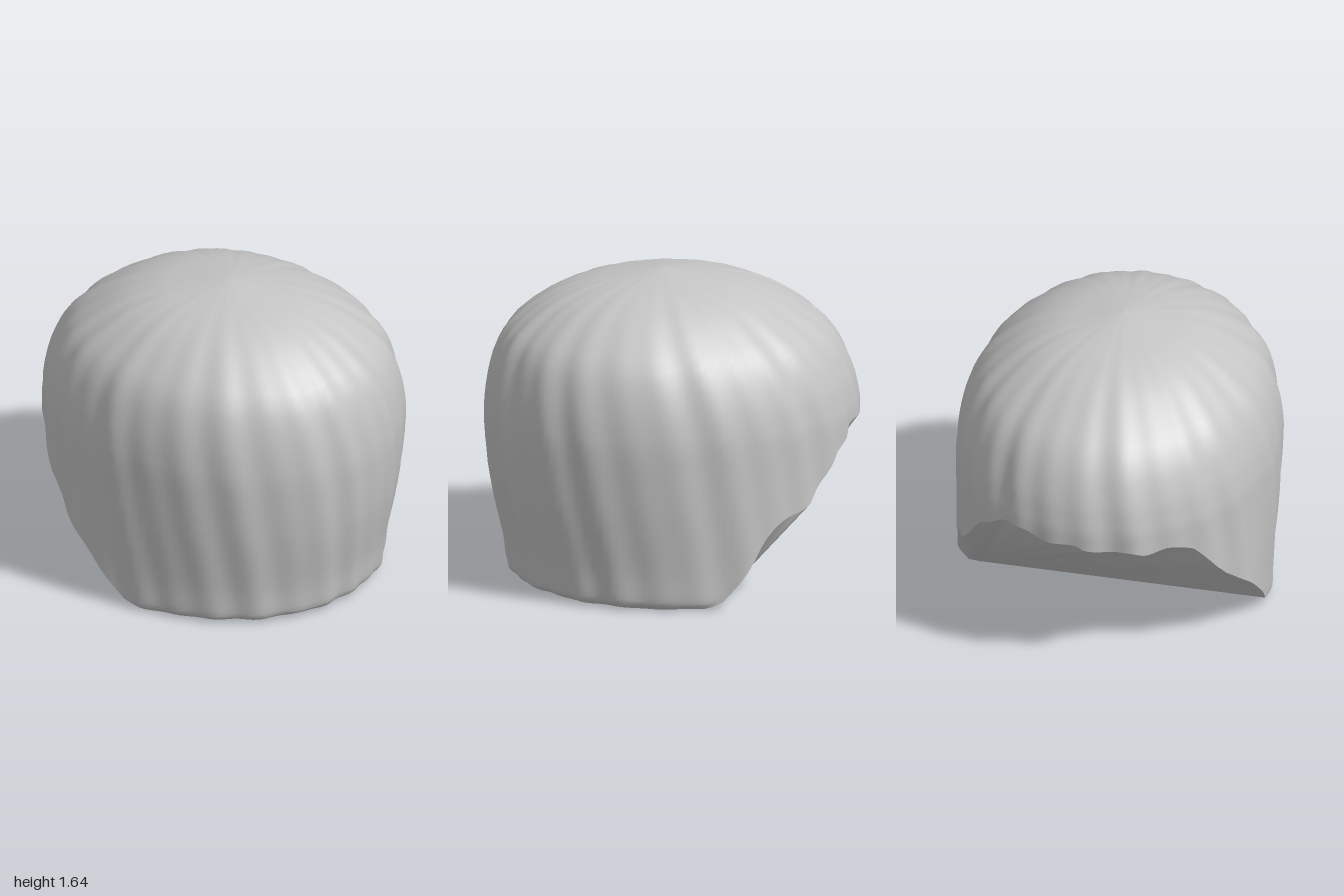
import * as THREE from 'three';

const COLS = 180, ROWS = 32;

// Radius factor and height, from crown to curled lower edge
const profile = new THREE.SplineCurve([
  [0, 1.64], [0.1, 1.63], [0.26, 1.605], [0.43, 1.57], [0.62, 1.495], [0.815, 1.36],
  [0.91, 1.24], [0.965, 1.1], [0.99, 0.98], [1, 0.85], [0.98, 0.6], [0.945, 0.4],
  [0.9, 0.2], [0.885, 0.08], [0.865, 0.03], [0.79, 0.0],
].map(([r, y]) => new THREE.Vector2(r, y)));

// Height of the hem by depth: low at the front, cut away up to the nape
const hem = [[-1, 0.82], [-0.92, 0.86], [-0.82, 0.82], [-0.73, 0.75], [-0.64, 0.62],
  [-0.55, 0.5], [-0.35, 0.31], [-0.07, 0.04], [0.02, 0.01], [1, 0.008]];

const bump = (z, centre, width) => Math.exp(-(((z - centre) / width) ** 2));

function hemHeight(a) {
  const z = Math.max(-0.999, Math.cos(a) * 0.98);
  const k = hem.findIndex(p => p[0] > z);
  const [z0, y0] = hem[k - 1], [z1, y1] = hem[k];
  const y = y0 + (y1 - y0) * (z - z0) / (z1 - z0);
  // Cut higher behind the left ear, hanging lower right of the nape
  const cut = Math.sin(a) > 0 ? 0.12 * bump(z, -0.35, 0.15) : -0.09 * bump(z, -0.9, 0.06);
  const ragged = z < -0.6 ? 0.02 : 0.007;
  return Math.max(0.002, y + cut + ragged * Math.sin(11 * a + 0.6) * Math.sin(4 * a));
}

// Curve parameter at which the profile reaches a height
function paramAt(y) {
  let lo = 0, hi = 1;
  for (let i = 0; i < 30; i++) {
    const mid = (lo + hi) / 2;
    if (profile.getPoint(mid).y > y) lo = mid; else hi = mid;
  }
  return lo;
}

// Uneven locks running down from the crown with a slight swirl
function locks(a, y) {
  const p = a - 0.19 * (1.64 - y);
  return 0.007 * Math.sin(27 * p + Math.sin(3 * p)) + 0.006 * Math.sin(17 * p + 1)
    + 0.003 * Math.sin(11 * p + 2.2);
}

function hairPoint(a, t) {
  const { x, y } = profile.getPoint(t);
  const s = Math.sin(a), c = Math.cos(a);
  // Below the widest level the front tapers most, the sides less, the back not at all
  const taper = c > 0 ? 0.4 + 0.6 * c : Math.max(0, 0.4 + 1.2 * c);
  const r = y < 0.85 ? 1 - (1 - x) * taper : x;
  const k = r * (1 + 0.012 * Math.sin(2 * a) ** 2) * (1 + locks(a, y));
  const shift = y > 0.85 ? 1 - r ** 6 : 0;
  return [s * 0.842 * k - 0.012 * shift, Math.max(0, y), c * 0.985 * k + 0.05 * shift];
}

function makeGeometry(positions, indices) {
  const g = new THREE.BufferGeometry();
  g.setAttribute('position', new THREE.Float32BufferAttribute(positions, 3));
  g.setIndex(indices);
  g.computeVertexNormals();
  return g;
}

export function createModel() {
  const group = new THREE.Group();
  group.name = 'hair';
  const grey = new THREE.MeshStandardMaterial({ color: 0xc4c4c4, side: THREE.DoubleSide });
  grey.name = 'grey';

  // Outer shell: one column of points per angle
  const pos = [], idx = [], rim = [];
  for (let i = 0; i < COLS; i++) {
    const a = i / COLS * Math.PI * 2;
    const end = paramAt(hemHeight(a));
    for (let j = 0; j <= ROWS; j++) {
      const p = hairPoint(a, end * j / ROWS);
      pos.push(...p);
      if (j === ROWS) rim.push(p);
    }
    for (let j = 0; j < ROWS; j++) {
      const p = i * (ROWS + 1) + j, q = ((i + 1) % COLS) * (ROWS + 1) + j;
      if (j > 0) idx.push(p, p + 1, q);
      idx.push(q, p + 1, q + 1);
    }
  }
  const shell = new THREE.Mesh(makeGeometry(pos, idx), grey);
  shell.name = 'hairShell';

  // Underside: a fan spreading from one point just inside the left hem
  const fan = [];
  for (let i = 0; i < COLS; i++) fan.push(COLS, (i + 1) % COLS, i);
  const underside = new THREE.Mesh(makeGeometry([...rim.flat(), 0.74, 0.02, -0.04], fan), grey);
  underside.name = 'underside';

  group.add(shell, underside);
  return group;
}
